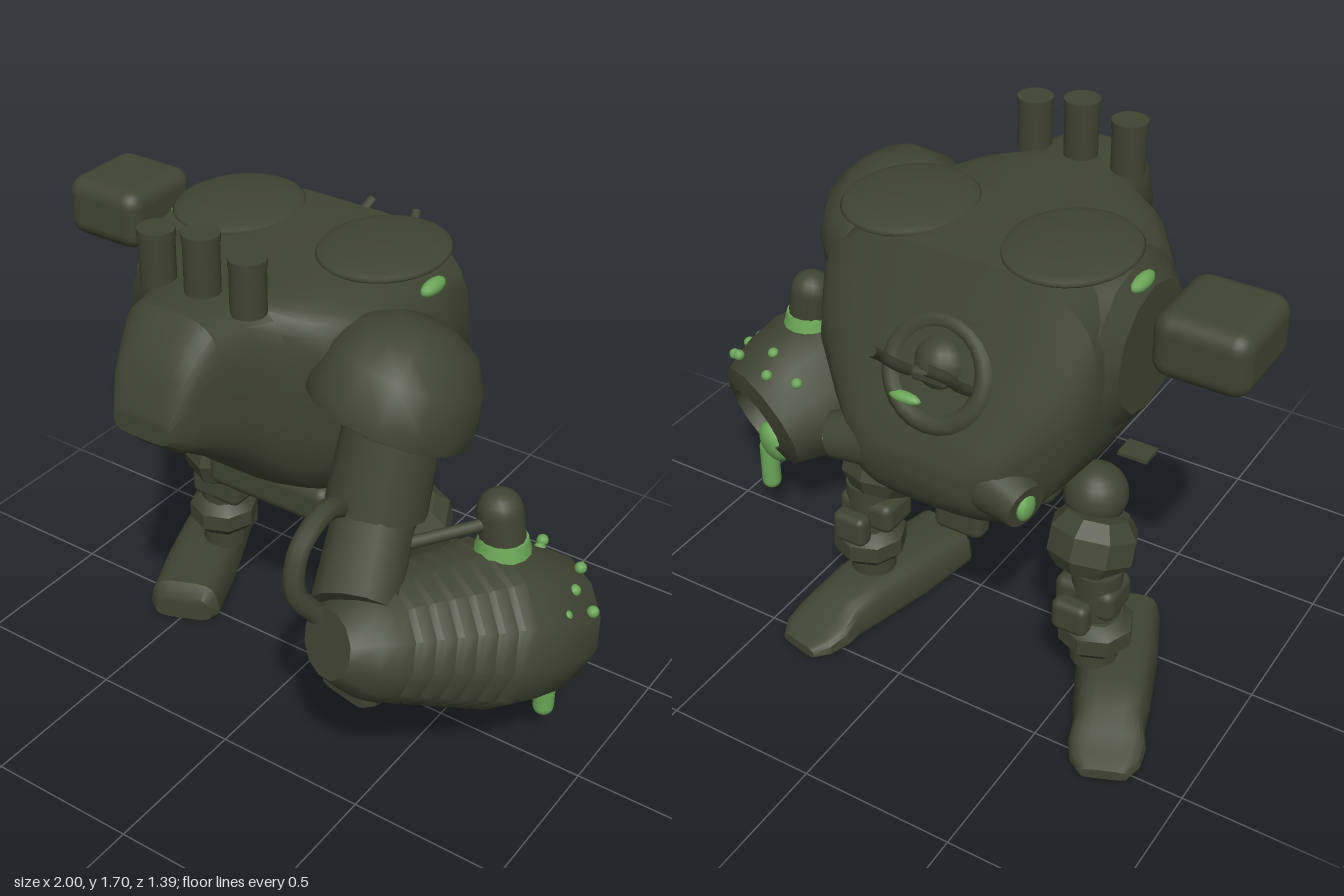
import * as THREE from 'three';
import { toCreasedNormals } from 'three/addons/utils/BufferGeometryUtils.js';
import { RoundedBoxGeometry } from 'three/addons/geometries/RoundedBoxGeometry.js';

const V = (x, y, z) => new THREE.Vector3(x, y, z);
const CX = -0.135; // middle of the torso

// Skin over superellipse sections [z, halfWidth, yBottom, yTop], ordered from high z to low z;
// taper(y) narrows the width by height
function loft(sections, power, n, taper) {
  const pos = [], idx = [];
  const sp = (v) => Math.sign(v) * Math.abs(v) ** (2 / power);
  for (const [z, w, lo, hi] of sections) {
    for (let j = 0; j < n; j++) {
      const a = ((j + 0.5) / n) * Math.PI * 2;
      const y = (lo + hi) / 2 + ((hi - lo) / 2) * sp(Math.sin(a));
      pos.push(w * sp(Math.cos(a)) * taper(y), y, z);
    }
  }
  const last = sections.length - 1;
  for (let i = 0; i < last; i++) {
    for (let j = 0; j < n; j++) {
      const a = i * n + j, b = i * n + ((j + 1) % n);
      idx.push(a, a + n, b, b, a + n, b + n);
    }
  }
  for (let j = 1; j < n - 1; j++) idx.push(0, j, j + 1, last * n, last * n + j + 1, last * n + j);
  const g = new THREE.BufferGeometry();
  g.setAttribute('position', new THREE.Float32BufferAttribute(pos, 3));
  g.setIndex(idx);
  return toCreasedNormals(g, 0.6);
}

const lathe = (points, sides) =>
  toCreasedNormals(new THREE.LatheGeometry(points.map((p) => new THREE.Vector2(...p)), sides), 0.6);

export function createModel() {
  const model = new THREE.Group();
  const olive = new THREE.MeshStandardMaterial({ color: 0x404432 });
  olive.name = 'olive armour';
  const slime = new THREE.MeshStandardMaterial({ color: 0x6aa556 });
  slime.name = 'green slime';

  function add(name, geo, x = 0, y = 0, z = 0, mat = olive, parent = model) {
    const m = new THREE.Mesh(geo, mat);
    m.name = name;
    m.position.set(x, y, z);
    parent.add(m);
    return m;
  }
  const box = (w, h, d, r) => new RoundedBoxGeometry(w, h, d, 3, r);
  const tube = (pts, r) => new THREE.TubeGeometry(new THREE.CatmullRomCurve3(pts), 24, r, 8);
  // Cylinder between two points
  function rod(name, a, b, ra, rb, sides = 16) {
    const m = add(name, new THREE.CylinderGeometry(rb, ra, a.distanceTo(b), sides));
    m.position.copy(a).lerp(b, 0.5);
    m.quaternion.setFromUnitVectors(V(0, 1, 0), b.clone().sub(a).normalize());
    return m;
  }

  // Torso with a blunt snout at one end and a sloping hatch wall at the other
  add('torso', loft([
    [0.65, 0.1, 1.18, 1.26], [0.6, 0.135, 1.13, 1.38], [0.56, 0.15, 1.11, 1.45],
    [0.5, 0.175, 1.07, 1.52], [0.4, 0.21, 1.0, 1.52], [0.31, 0.26, 0.92, 1.52],
    [0.25, 0.37, 0.86, 1.52], [0.14, 0.45, 0.79, 1.52], [0.04, 0.48, 0.75, 1.52],
    [-0.2, 0.48, 0.73, 1.53], [-0.36, 0.46, 0.73, 1.52], [-0.42, 0.43, 0.73, 1.37],
    [-0.48, 0.36, 0.73, 1.22], [-0.55, 0.28, 0.79, 1.06], [-0.585, 0.2, 0.85, 0.98],
  ], 3.6, 28, (y) => 1 - 0.7 * Math.max(0, 1.1 - y)), CX);
  add('pelvis', box(0.47, 0.14, 0.3, 0.04), CX, 0.69, -0.06);
  add('tailBlock', box(0.17, 0.2, 0.08, 0.03), CX, 0.64, -0.33);

  // Roof domes, hip fins and seeping slime on both sides
  for (const s of [-1, 1]) {
    add('roofDome', new THREE.SphereGeometry(1, 28, 12), -0.125 + s * 0.265, 1.52, -0.155).scale.set(0.195, 0.03, 0.225);
    add('roofSlime', new THREE.SphereGeometry(1, 12, 8), CX + s * 0.46, 1.46, -0.13, slime).scale.set(0.025, 0.024, 0.06);
    add('hipFin', new THREE.BoxGeometry(0.1, 0.012, 0.08), CX + s * 0.39, 0.737, 0.06);
  }
  for (const i of [-1, 0, 1]) {
    const top = i ? 1.67 : 1.7;
    add('exhaustStack', new THREE.CylinderGeometry(0.053, 0.053, top - 1.5, 20), CX + i * 0.16, (top + 1.5) / 2, 0.355);
    add('exhaustCap', new THREE.CylinderGeometry(0.056, 0.056, 0.025, 20), CX + i * 0.16, top - 0.012, 0.355);
  }

  // Hatch with the pilot's head, antennas and sideways nozzles
  const hatch = add('hatchRing', new THREE.TorusGeometry(0.15, 0.035, 10, 24), -0.15, 1.2, -0.465);
  hatch.rotation.x = 0.42;
  add('pilotHead', new THREE.SphereGeometry(0.085, 16, 12), -0.15, 1.22, -0.44);
  add('pilotVisor', box(0.12, 0.04, 0.04, 0.015), -0.15, 1.21, -0.51);
  add('hatchSlime', new THREE.SphereGeometry(1, 12, 8), -0.07, 1.12, -0.525, slime).scale.set(0.055, 0.018, 0.02);
  for (const s of [-1, 1]) {
    const x = -0.165 + s * 0.1;
    add('antenna', tube([V(x, 1.15, -0.44), V(x, 1.24, -0.55), V(x + s * 0.005, 1.31, -0.62), V(x - s * 0.015, 1.37, -0.69)], 0.016));
    const base = V(CX + s * 0.15, 0.92, -0.47);
    const dir = V(s * 0.95, -0.16, -0.27).normalize();
    const tip = base.clone().addScaledVector(dir, 0.19);
    rod('nozzle', base, tip, 0.11, 0.07);
    add('nozzleSlime', new THREE.SphereGeometry(0.042, 12, 8), tip.x, tip.y, tip.z, slime).scale.x = 0.5;
  }

  // Bare shoulder socket on the right, with a floating box pod
  const socket = add('rightSocket', lathe([[0, -0.1], [0.28, -0.1], [0.27, 0.05], [0.2, 0.1], [0, 0.1]], 12), -0.52, 1.24, -0.1);
  socket.rotation.z = Math.PI / 2;
  add('sidePod', box(0.29, 0.2, 0.31, 0.055), -0.855, 1.4, -0.175);

  // Left shoulder guard: tilted faceted cap
  const guard = add('shoulderGuard', lathe([
    [0, -0.2], [0.85, -0.25], [0.97, -0.2], [1, 0], [0.9, 0.45], [0.68, 0.78], [0.35, 0.96], [0, 1],
  ], 14), 0.36, 1.22, 0.12);
  guard.scale.set(0.255, 0.25, 0.28);
  guard.rotation.set(-0.38, 0, -0.2);

  // Left arm
  rod('upperArm', V(0.42, 1.28, 0.19), V(0.41, 0.96, 0.28), 0.14, 0.15);
  add('elbow', new THREE.SphereGeometry(0.13, 16, 12), 0.41, 0.95, 0.29);
  rod('forearm', V(0.41, 0.95, 0.28), V(0.5, 0.78, 0.52), 0.12, 0.13, 12);
  add('armHose', tube([V(0.37, 1.0, 0.38), V(0.38, 1.05, 0.5), V(0.38, 0.99, 0.62), V(0.39, 0.87, 0.65), V(0.43, 0.78, 0.6)], 0.032));

  // Arm cannon: ribbed barrel, local +y runs to the muzzle and local +z faces up
  const rear = V(0.51, 0.72, 0.6), muzzle = V(0.8, 0.485, -0.12);
  const axis = muzzle.clone().sub(rear);
  const len = axis.length();
  axis.normalize();
  const side = axis.clone().cross(V(0, 1, 0)).normalize();
  const cannon = new THREE.Group();
  cannon.name = 'armCannon';
  cannon.position.copy(rear);
  cannon.quaternion.setFromRotationMatrix(new THREE.Matrix4().makeBasis(side, axis, side.clone().cross(axis)));
  model.add(cannon);
  const profile = [[0, -0.05], [0.1, -0.05], [0.15, 0.02]];
  for (let i = 0; i < 7; i++) {
    const y = 0.07 + i * 0.065, r = 0.17 + i * 0.012;
    profile.push([r, y], [r + 0.01, y + 0.04], [r - 0.003, y + 0.05]);
  }
  profile.push([0.25, 0.58], [0.235, 0.7], [0.195, len], [0.12, len + 0.02], [0.1, len - 0.1], [0, len - 0.1]);
  add('barrel', lathe(profile, 12), 0, 0, 0, olive, cannon).scale.x = 1.08;
  add('muzzleSlime', new THREE.CylinderGeometry(0.065, 0.065, 0.02, 14), 0, len - 0.085, -0.03, slime, cannon);
  add('muzzleSpill', new THREE.SphereGeometry(1, 14, 10), 0, len - 0.005, -0.13, slime, cannon).scale.set(0.065, 0.045, 0.085);
  for (const [a, y] of [[-0.7, 0.7], [-0.35, 0.76], [-0.1, 0.69], [0.35, 0.77], [0.65, 0.7], [0.95, 0.75], [0.95, 0.64]]) {
    add('slimeDot', new THREE.SphereGeometry(0.019, 10, 8), 0.242 * Math.sin(a), y, 0.226 * Math.cos(a), slime, cannon);
  }
  add('slimeDrip', new THREE.CapsuleGeometry(0.034, 0.14, 6, 12), 0.83, 0.24, -0.06, slime);
  const nub = add('cannonTank', new THREE.CapsuleGeometry(0.07, 0.1, 6, 14), 0.7, 0.88, 0.06);
  nub.rotation.z = 0.15;
  add('tankSlime', new THREE.CylinderGeometry(0.074, 0.086, 0.045, 14), 0.71, 0.825, 0.06, slime);
  rod('tankPipe', V(0.52, 0.88, 0.3), V(0.69, 0.9, 0.08), 0.02, 0.02, 8);

  // Legs: hip ball, faceted joints, knee pad and splayed foot
  const joint = (r, h) => lathe([[0, -h / 2], [r * 0.72, -h / 2], [r, -h * 0.22], [r, h * 0.22], [r * 0.72, h / 2], [0, h / 2]], 8);
  const footGeo = loft([
    [0.34, 0.1, 0.01, 0.1], [0.31, 0.13, 0.01, 0.145], [0.1, 0.135, 0.005, 0.15], [-0.1, 0.125, 0.005, 0.15],
    [-0.2, 0.115, 0.005, 0.125], [-0.26, 0.12, 0.005, 0.085], [-0.33, 0.105, 0.005, 0.06], [-0.375, 0.07, 0.005, 0.04],
  ], 4, 16, (y) => 1.05 - 1.8 * y);
  for (const s of [-1, 1]) {
    const leg = new THREE.Group();
    leg.name = s < 0 ? 'rightLeg' : 'leftLeg';
    leg.position.x = CX;
    model.add(leg);
    const part = (name, geo, x, y, z) => add(name, geo, s * x, y, z, olive, leg);
    part('hipBall', new THREE.SphereGeometry(0.1, 20, 14), 0.345, 0.68, -0.12);
    part('thighJoint', joint(0.14, 0.18), 0.375, 0.56, -0.19).rotation.x = 0.35;
    part('shin', new THREE.CylinderGeometry(0.08, 0.075, 0.36, 16), 0.415, 0.32, -0.225);
    part('kneeBlock', box(0.2, 0.11, 0.15, 0.03), 0.4, 0.4, -0.22);
    part('kneePad', box(0.12, 0.11, 0.065, 0.025), 0.4, 0.395, -0.355);
    part('ankleJoint', joint(0.12, 0.13), 0.42, 0.268, -0.23);
    part('foot', footGeo, s < 0 ? 0.485 : 0.4, 0, -0.21).rotation.y = s < 0 ? 0.4 : -0.2;
  }
  return model;
}
